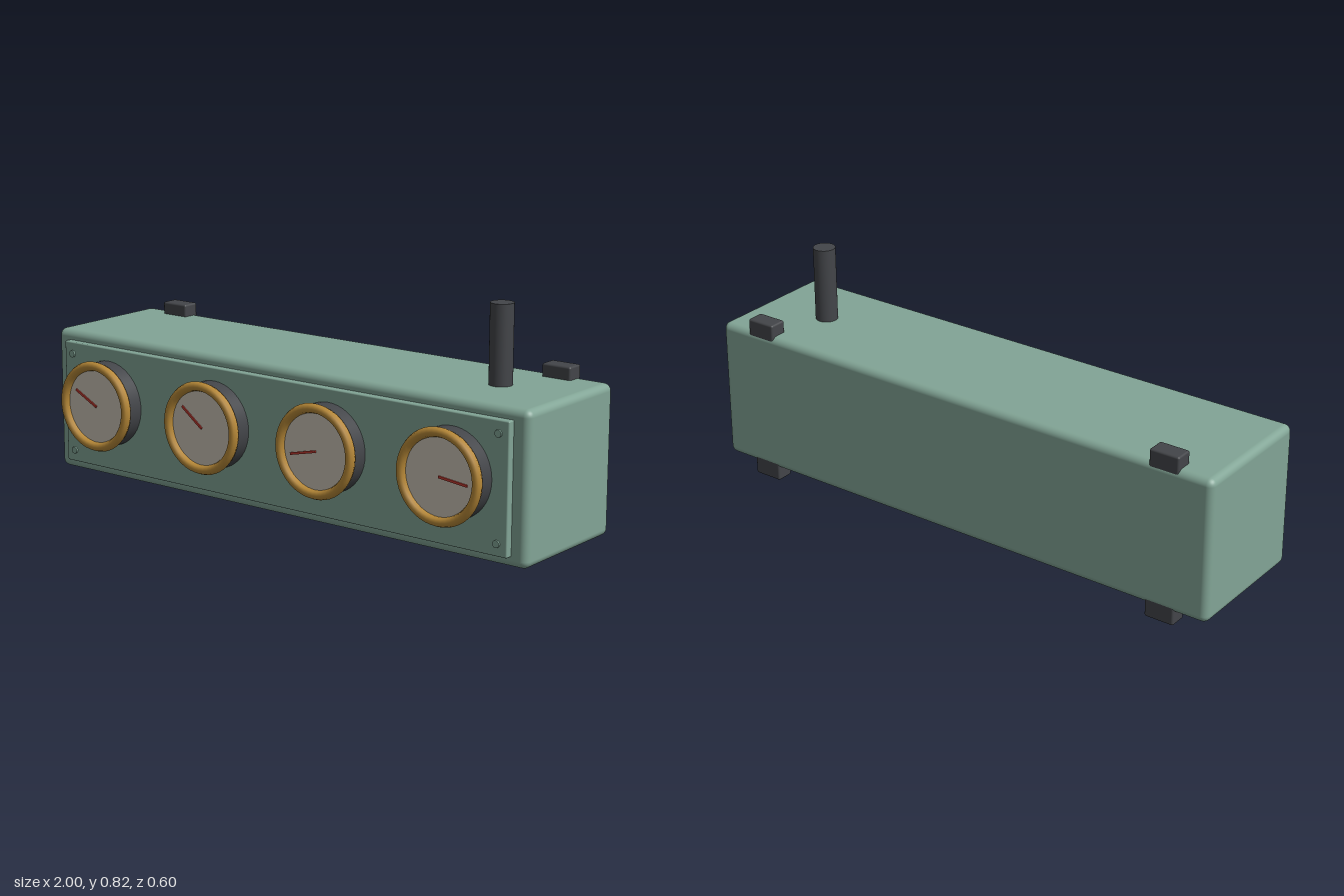
import * as THREE from 'three';
import { RoundedBoxGeometry } from 'three/addons/geometries/RoundedBoxGeometry.js';

const material = (name, color) => {
  const m = new THREE.MeshStandardMaterial({ color });
  m.name = name;
  return m;
};

export function createModel() {
  const green = material('sage green', 0x82a596);
  const dark = material('dark grey', 0x434549);
  const brass = material('brass', 0xb98a38);
  const cream = material('cream', 0xcbc4b7);
  const red = material('needle red', 0xc03a30);

  const model = new THREE.Group();
  model.name = 'gaugeBox';

  const add = (parent, name, geometry, mat, x, y, z) => {
    const mesh = new THREE.Mesh(geometry, mat);
    mesh.name = name;
    mesh.position.set(x, y, z);
    parent.add(mesh);
    return mesh;
  };
  // Cylinder whose axis points forward
  const disc = (r, depth, sides) => new THREE.CylinderGeometry(r, r, depth, sides).rotateX(Math.PI / 2);

  // Housing and front plate
  add(model, 'housing', new RoundedBoxGeometry(2, 0.508, 0.49, 4, 0.025), green, 0, 0.302, -0.055);
  add(model, 'frontPanel', new RoundedBoxGeometry(1.886, 0.437, 0.03, 2, 0.005), green, 0, 0.302, 0.2);

  // Panel screws in the four corners
  for (const x of [-0.905, 0.905]) {
    for (const y of [0.125, 0.478]) {
      add(model, 'screw', disc(0.0125, 0.012, 16), green, x, y, 0.215);
    }
  }

  // Mounting straps, set just inside the back face
  for (const x of [-0.823, 0.823]) {
    add(model, 'mountingStrap', new RoundedBoxGeometry(0.108, 0.6, 0.064, 2, 0.007), dark, x, 0.3, -0.266);
  }

  // Upright pipe
  add(model, 'pipe', new THREE.CylinderGeometry(0.039, 0.039, 0.3, 32), dark, 0.73, 0.673, -0.055);

  // Four dials, each with its own needle angle in degrees
  [153, 143, 193, -6].forEach((angle, i) => {
    const gauge = new THREE.Group();
    gauge.name = 'gauge';
    gauge.position.set(-0.732 + i * 0.488, 0.324, 0);
    model.add(gauge);

    add(gauge, 'gaugeCase', disc(0.151, 0.062, 48), dark, 0, 0, 0.243);
    add(gauge, 'bezel', new THREE.TorusGeometry(0.144, 0.0165, 8, 48), brass, 0, 0, 0.2845);
    add(gauge, 'dialFace', disc(0.14, 0.008, 48), cream, 0, 0, 0.277);
    const needle = new THREE.BoxGeometry(0.108, 0.008, 0.004).translate(0.052, 0, 0);
    add(gauge, 'needle', needle, red, 0, 0, 0.283).rotation.z = THREE.MathUtils.degToRad(angle);
  });

  return model;
}
